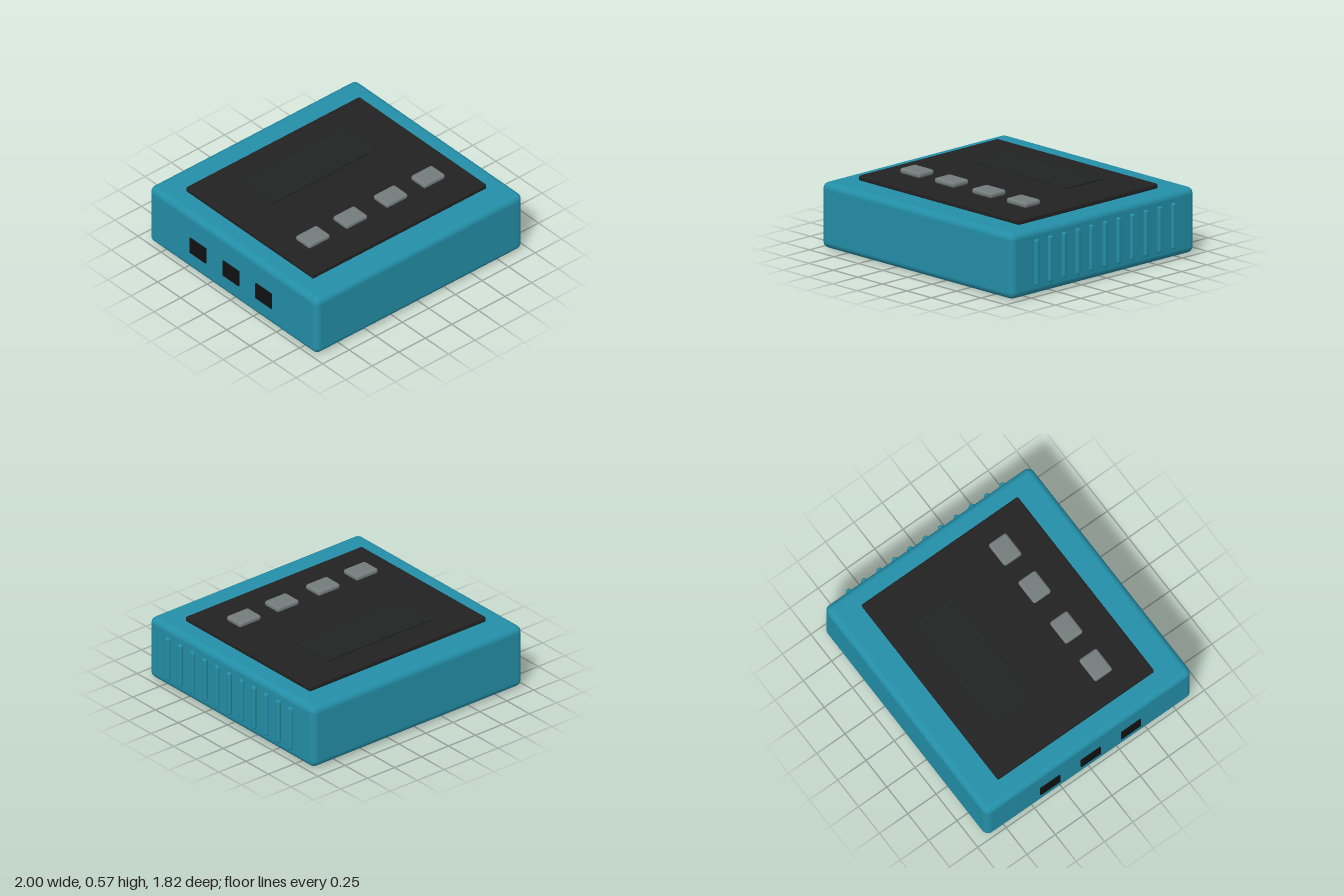
import * as THREE from 'three';
import { RoundedBoxGeometry } from 'three/addons/geometries/RoundedBoxGeometry.js';

const material = (name, color) => {
  const m = new THREE.MeshStandardMaterial({ color });
  m.name = name;
  return m;
};

export function createModel() {
  const group = new THREE.Group();
  const teal = material('teal casing', 0x238fa8);
  const charcoal = material('charcoal panel', 0x222222);
  const glass = material('dark display', 0x202422);
  const grey = material('grey buttons', 0x747d7b);
  const black = material('black fittings', 0x111111);

  // Box given by its centre and size, rounded when r > 0
  const box = (name, mat, [x, y, z], [w, h, d], r = 0) => {
    const geo = r > 0 ? new RoundedBoxGeometry(w, h, d, 4, r) : new THREE.BoxGeometry(w, h, d);
    const mesh = new THREE.Mesh(geo, mat);
    mesh.name = name;
    mesh.position.set(x, y, z);
    group.add(mesh);
  };

  // Casing, top panel and display
  box('casing', teal, [-0.005, 0.247, 0], [1.95, 0.486, 1.82], 0.05);
  box('topPanel', charcoal, [-0.003, 0.505, 0], [1.636, 0.04, 1.38], 0.012);
  box('display', glass, [-0.005, 0.53, -0.304], [0.96, 0.016, 0.35], 0.004);

  // Row of push buttons
  for (const x of [-0.548, -0.196, 0.184, 0.536]) {
    box('button', grey, [x, 0.547, 0.374], [0.2, 0.042, 0.155], 0.018);
  }

  // Grille ribs on the left side
  for (let i = 0; i < 11; i++) {
    box('grilleRib', teal, [0.985, 0.248, (i - 5) * 0.1355], [0.03, 0.34, 0.04], 0.014);
  }

  // Sockets on the right side
  for (const z of [-0.356, 0, 0.356]) {
    box('socket', black, [-0.995, 0.235, z], [0.01, 0.13, 0.172]);
  }

  // Flat feet at the corners
  for (const x of [-0.75, 0.74]) {
    for (const z of [-0.64, 0.64]) {
      box('foot', black, [x, 0.004, z], [0.22, 0.008, 0.22]);
    }
  }
  return group;
}
